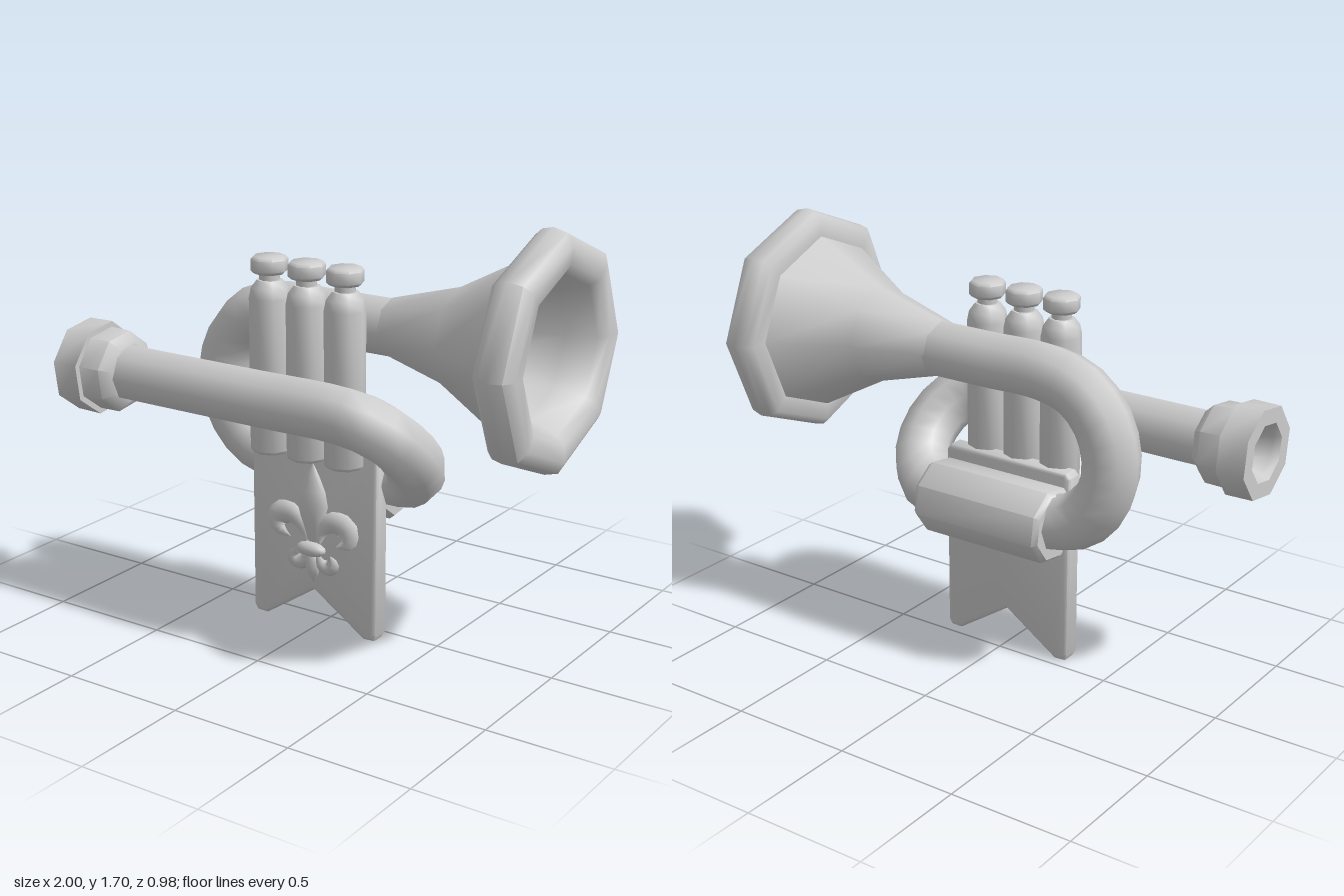
import * as THREE from 'three';
import { toCreasedNormals } from 'three/addons/utils/BufferGeometryUtils.js';

const material = new THREE.MeshStandardMaterial({ color: 0xcccccc });
const V = (x, y, z) => new THREE.Vector3(x, y, z);

function add(parent, name, geometry, x = 0, y = 0, z = 0) {
  const mesh = new THREE.Mesh(geometry, material);
  mesh.name = name;
  mesh.position.set(x, y, z);
  parent.add(mesh);
  return mesh;
}

// Turned part; profile is a list of [radius, height], bottom to top on the outside
function turned(profile, sides = 8, phi = 0, crease = 0.9) {
  const points = profile.map(([r, h]) => new THREE.Vector2(r, h));
  return toCreasedNormals(new THREE.LatheGeometry(points, sides, phi), crease);
}

// Turned part lying along x
const turnedX = (profile, phi) => turned(profile, 8, phi).rotateZ(-Math.PI / 2);

// Tube whose radius follows a list of values along the path
function taperedTube(points, radii, steps = 14, sides = 8) {
  const curve = new THREE.CatmullRomCurve3(points);
  const geometry = new THREE.TubeGeometry(curve, steps, 1, sides);
  const pos = geometry.attributes.position;
  const p = V();
  for (let i = 0; i < pos.count; i++) {
    const t = Math.floor(i / (sides + 1)) / steps;
    const f = t * (radii.length - 1);
    const k = Math.min(Math.floor(f), radii.length - 2);
    const r = THREE.MathUtils.lerp(radii[k], radii[k + 1], f - k);
    const c = curve.getPointAt(t);
    p.fromBufferAttribute(pos, i).sub(c).multiplyScalar(r).add(c);
    pos.setXYZ(i, p.x, p.y, p.z);
  }
  return geometry;
}

// Folded main pipe: bell pipe, left bend, lower run, tilted right bend, mouth pipe
function pipePath() {
  const pts = [V(0.32, 1.247, -0.035), V(0, 1.247, -0.035)];
  for (let i = 0; i <= 6; i++) {
    const a = (i / 6) * Math.PI;
    pts.push(V(-0.25 - 0.285 * Math.sin(a), 0.945 + 0.302 * Math.cos(a), -0.035));
  }
  pts.push(V(0, 0.643, -0.038));
  for (let i = 0; i <= 6; i++) {
    const a = (i / 6) * Math.PI;
    pts.push(V(0.25 + 0.2 * Math.sin(a), 0.815 - 0.172 * Math.cos(a), 0.135 - 0.173 * Math.cos(a)));
  }
  pts.push(V(-0.1, 0.987, 0.308), V(-0.45, 0.987, 0.308), V(-0.8, 0.987, 0.308));
  return new THREE.CatmullRomCurve3(pts);
}

function addOrnament(group) {
  const ornament = new THREE.Group();
  ornament.name = 'bannerOrnament';
  ornament.position.set(-0.005, 0, 0.118);
  ornament.scale.z = 0.75;
  group.add(ornament);

  add(ornament, 'centrePetal', turned([
    [0, 0.35], [0.025, 0.38], [0.05, 0.45], [0.07, 0.53], [0.058, 0.59], [0.03, 0.65], [0, 0.7],
  ], 12)).scale.z = 0.75;
  add(ornament, 'lowerPetal', turned([
    [0, 0.2], [0.022, 0.235], [0.034, 0.27], [0.025, 0.31], [0, 0.34],
  ], 12));
  add(ornament, 'ornamentBand', new THREE.SphereGeometry(1, 14, 8), 0, 0.345, 0.02)
    .scale.set(0.068, 0.03, 0.042);

  for (const s of [-1, 1]) {
    add(ornament, 'sidePetal', taperedTube(
      [[0.025, 0.36], [0.045, 0.43], [0.1, 0.472], [0.165, 0.455], [0.165, 0.4], [0.11, 0.37]]
        .map(([x, y]) => V(s * x, y, 0)),
      [0.005, 0.028, 0.043, 0.052, 0.035, 0.002]));
    add(ornament, 'lowerCurl', taperedTube(
      [[0.015, 0.33], [0.04, 0.285], [0.075, 0.275], [0.095, 0.295], [0.08, 0.325]]
        .map(([x, y]) => V(s * x, y, 0)),
      [0.005, 0.022, 0.033, 0.032, 0.004]));
  }
}

export function createModel() {
  const group = new THREE.Group();
  group.name = 'trumpet';
  const tilt = -14 * Math.PI / 180;

  add(group, 'mainPipe', new THREE.TubeGeometry(pipePath(), 52, 0.115, 8));

  // Flared bell with a thick rim and an open mouth
  add(group, 'bell', turnedX([
    [0.1, 0.22], [0.115, 0.26], [0.195, 0.55], [0.355, 0.85], [0.425, 0.848], [0.45, 0.875],
    [0.46, 0.92], [0.445, 0.975], [0.4, 1], [0.335, 0.995], [0.3, 0.965],
    [0.26, 0.85], [0.14, 0.55], [0.08, 0.28], [0.06, 0.26], [0, 0.26],
  ]), 0, 1.25, -0.035);

  // Hollow stepped mouthpiece
  add(group, 'mouthpiece', turnedX([
    [0, -0.82], [0.06, -0.82], [0.105, -0.97], [0.12, -1], [0.186, -1], [0.188, -0.885],
    [0.165, -0.885], [0.163, -0.79], [0.125, -0.75], [0.1, -0.75],
  ], tilt), 0, 0.987, 0.305);

  // Sleeve round the lower run
  add(group, 'lowerSleeve', turnedX([
    [0.08, -0.3], [0.135, -0.3], [0.152, -0.28], [0.152, 0.27], [0.135, 0.29], [0.08, 0.29],
  ], tilt), 0, 0.635, -0.045);

  // Three valves with finger buttons
  for (const x of [-0.19, -0.017, 0.157]) {
    const valve = new THREE.Group();
    valve.name = 'valve';
    valve.position.set(x, 0, 0.138);
    group.add(valve);
    add(valve, 'valveBody', turned([
      [0, 0.722], [0.07, 0.722], [0.081, 0.735], [0.081, 1.34], [0.073, 1.38], [0.05, 1.41], [0, 1.41],
    ]));
    add(valve, 'valveStem', new THREE.CylinderGeometry(0.04, 0.04, 0.06, 8), 0, 1.42, 0);
    add(valve, 'valveButton', turned([
      [0, 1.435], [0.06, 1.435], [0.073, 1.447], [0.073, 1.49], [0.062, 1.502], [0, 1.502],
    ]));
  }

  // Hanging banner with a notched lower edge
  const shape = new THREE.Shape([
    [-0.295, 0.035], [-0.28, 0.01], [-0.235, 0.008], [0, 0.165], [0.235, 0.008], [0.28, 0.01],
    [0.295, 0.035], [0.295, 0.8], [0.275, 0.82], [-0.275, 0.82], [-0.295, 0.8],
  ].map(([x, y]) => new THREE.Vector2(x, y)));
  const banner = new THREE.ExtrudeGeometry(shape, {
    depth: 0.05, bevelThickness: 0.015, bevelSize: 0.015, bevelOffset: -0.015, bevelSegments: 2,
  });
  add(group, 'banner', toCreasedNormals(banner, 0.8), -0.005, 0, 0.053);
  addOrnament(group);

  return group;
}
